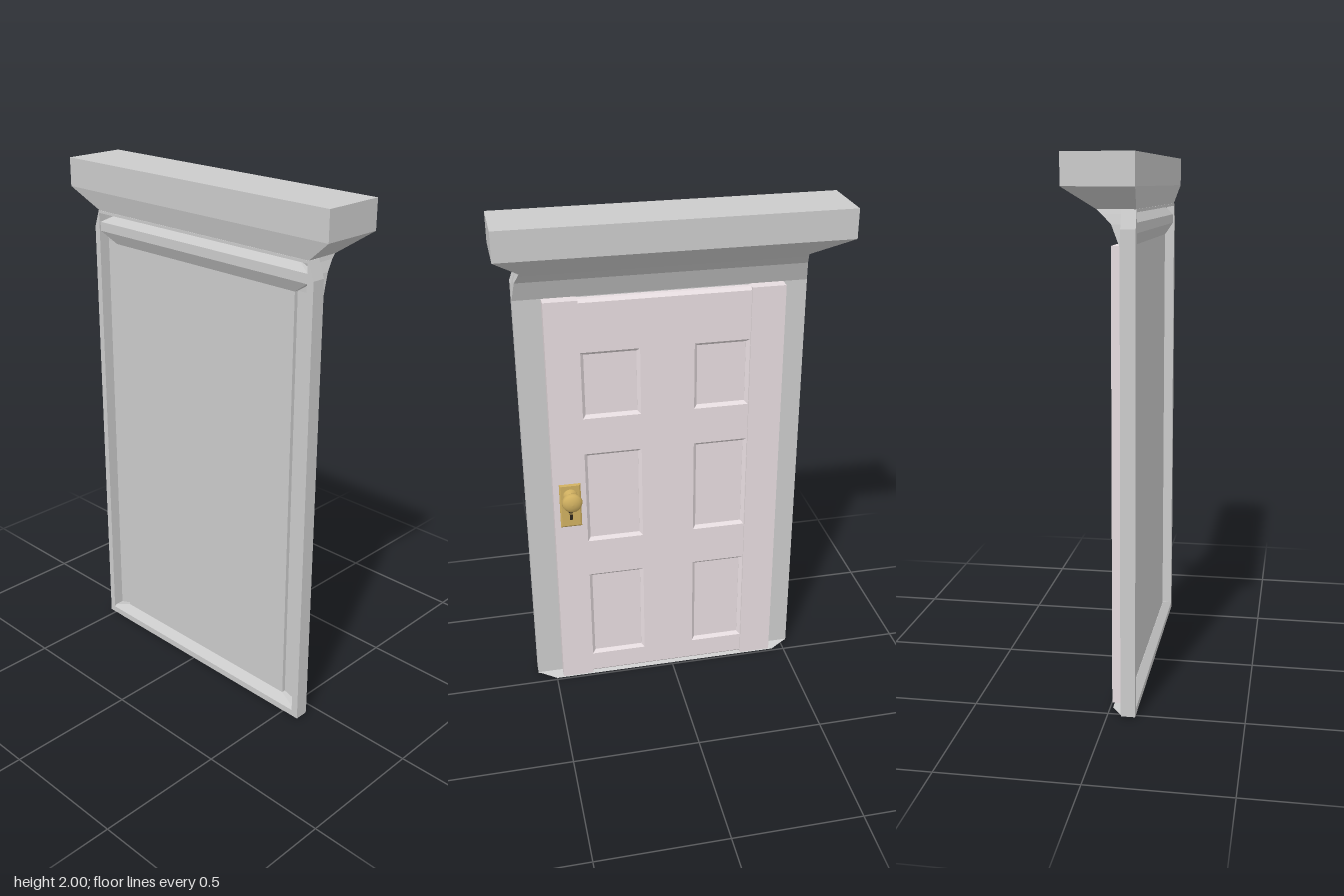
import * as THREE from 'three';

const grey = new THREE.MeshStandardMaterial({ color: 0xcccccc, flatShading: true });
const paint = new THREE.MeshStandardMaterial({ color: 0xe6dcdf, flatShading: true });
const brass = new THREE.MeshStandardMaterial({ color: 0xd0b060 });
const dark = new THREE.MeshStandardMaterial({ color: 0x2a2418 });

// Outer limits of the surround and the door leaf
const L = -0.525, R = 0.575, DL = -0.432, DR = 0.472;

function add(parent, name, geometry, material) {
  const mesh = new THREE.Mesh(geometry, material);
  mesh.name = name;
  parent.add(mesh);
  return mesh;
}

// Box given by its limits
function block(x0, x1, y0, y1, z0, z1) {
  return new THREE.BoxGeometry(x1 - x0, y1 - y0, z1 - z0)
    .translate((x0 + x1) / 2, (y0 + y1) / 2, (z0 + z1) / 2);
}

function rectPoints(x0, x1, y0, y1) {
  return [[x0, y0], [x1, y0], [x1, y1], [x0, y1]].map(p => new THREE.Vector2(...p));
}

// Closed solid through quads of four corners each, rings running counter-clockwise seen from the last ring
function loft(rings) {
  const pos = [], idx = [];
  rings.forEach(r => r.forEach(p => pos.push(...p)));
  for (let k = 0; k < rings.length - 1; k++) {
    for (let i = 0; i < 4; i++) {
      const a = k * 4 + i, b = k * 4 + (i + 1) % 4;
      idx.push(a, b, b + 4, a, b + 4, a + 4);
    }
  }
  const e = (rings.length - 1) * 4;
  idx.push(0, 2, 1, 0, 3, 2, e, e + 1, e + 2, e, e + 2, e + 3);
  const g = new THREE.BufferGeometry();
  g.setAttribute('position', new THREE.Float32BufferAttribute(pos, 3));
  g.setIndex(idx);
  const flat = g.toNonIndexed();
  flat.computeVertexNormals();
  return flat;
}

// Horizontal ring for the cornice
const level = (y, x0, x1, z0, z1) => [[x0, y, z1], [x1, y, z1], [x1, y, z0], [x0, y, z0]];

function buildSurround() {
  const g = new THREE.Group();
  g.name = 'surround';

  // Cornice slab narrowing down to the head of the frame
  add(g, 'cornice', loft([
    level(1.69, L, R, 0.05, 0.06),
    level(1.765, L + 0.01, R - 0.01, 0.02, 0.065),
    level(1.8, -0.505, 0.553, -0.015, 0.075),
    level(1.815, -0.5, 0.55, -0.033, 0.102),
    level(1.89, -0.643, 0.643, -0.125, 0.12),
    level(2, -0.643, 0.643, -0.125, 0.12),
  ]), grey);

  // Backing plate and raised front panel
  add(g, 'backingPlate', block(L, R, 0.01, 1.72, 0.05, 0.06), grey);
  add(g, 'frontPanel', block(DL, DR, 0.06, 1.7, 0.058, 0.075), grey);

  // Narrow rim around the front
  const rim = new THREE.Shape([
    [L, 0.005], [R, 0.005], [R, 1.75], [0.552, 1.815], [-0.502, 1.815], [L, 1.75],
  ].map(p => new THREE.Vector2(...p)));
  rim.holes.push(new THREE.Path(rectPoints(-0.5, 0.547, 0.03, 1.805)));
  add(g, 'frontRim', new THREE.ExtrudeGeometry(rim, { depth: 0.052, bevelEnabled: false })
    .translate(0, 0, 0.052), grey);

  // Head moulding with mitred lower edge, and sloping sill
  add(g, 'headMoulding', loft([
    level(1.69, DL, DR, 0.055, 0.076),
    level(1.735, -0.498, 0.545, 0.055, 0.1),
    level(1.77, -0.498, 0.545, 0.055, 0.1),
    level(1.8, -0.44, 0.49, 0.055, 0.076),
  ]), grey);
  add(g, 'sill', loft([
    level(0, -0.45, 0.5, 0.01, 0.1),
    level(0.012, L, R, 0.05, 0.104),
    level(0.03, L, R, 0.05, 0.104),
    level(0.06, DL, DR, 0.05, 0.076),
  ]), grey);
  return g;
}

function buildDoor() {
  const g = new THREE.Group();
  g.name = 'door';

  // Rails and mullion in one sheet, with bevelled panel openings
  const inset = 0.012;
  const sheet = new THREE.Shape(rectPoints(DL + 0.03, DR - 0.03, 0.01 + inset, 1.69 - inset));
  const rows = [[0.105, 0.51], [0.67, 1.065], [1.215, 1.485]];
  const columns = [[-0.3, -0.087], [0.12, 0.343]];
  for (const [y0, y1] of rows) {
    for (const [x0, x1] of columns) {
      sheet.holes.push(new THREE.Path(rectPoints(x0, x1, y0, y1)));
      add(g, 'recessedPanel', block(x0 - 0.01, x1 + 0.01, y0 - 0.01, y1 + 0.01, 0.024, 0.04), paint);
    }
  }
  add(g, 'rails', new THREE.ExtrudeGeometry(sheet, {
    depth: 0.02, bevelSize: inset, bevelThickness: 0.012, bevelSegments: 1,
  }).translate(0, 0, 0.022), paint);

  // Stiles standing slightly proud of the rails
  add(g, 'rightStile', block(DL, -0.302, 0.01, 1.69, 0.004, 0.052), paint);
  add(g, 'leftStile', block(0.345, DR, 0.01, 1.69, 0.004, 0.052), paint);
  return g;
}

function buildHandle() {
  const g = new THREE.Group();
  g.name = 'handle';

  // Bevelled plate
  const plate = new THREE.Shape(rectPoints(0.371, 0.443, 0.761, 0.939));
  add(g, 'lockPlate', new THREE.ExtrudeGeometry(plate, {
    depth: 0.004, bevelSize: 0.006, bevelThickness: 0.004, bevelSegments: 1,
  }).translate(0, 0, 0.001), brass);

  // Turned knob pointing to the back
  const profile = [[0.028, 0], [0.027, 0.006], [0.016, 0.011], [0.013, 0.02], [0.014, 0.032],
    [0.024, 0.039], [0.035, 0.046], [0.04, 0.056], [0.037, 0.066], [0.026, 0.074], [0.012, 0.078], [0, 0.079]];
  add(g, 'knob', new THREE.LatheGeometry(profile.map(p => new THREE.Vector2(...p)), 28)
    .rotateX(-Math.PI / 2).translate(0.407, 0.897, -0.002), brass);

  // Keyhole: round top and slot
  add(g, 'keyholeTop', new THREE.CylinderGeometry(0.011, 0.011, 0.003, 16)
    .rotateX(Math.PI / 2).translate(0.407, 0.828, -0.003), dark);
  add(g, 'keyholeSlot', block(0.401, 0.413, 0.788, 0.812, -0.0045, -0.0015), dark);
  return g;
}

export function createModel() {
  const model = new THREE.Group();
  model.name = 'panelledDoor';
  model.add(buildSurround(), buildDoor(), buildHandle());
  return model;
}
